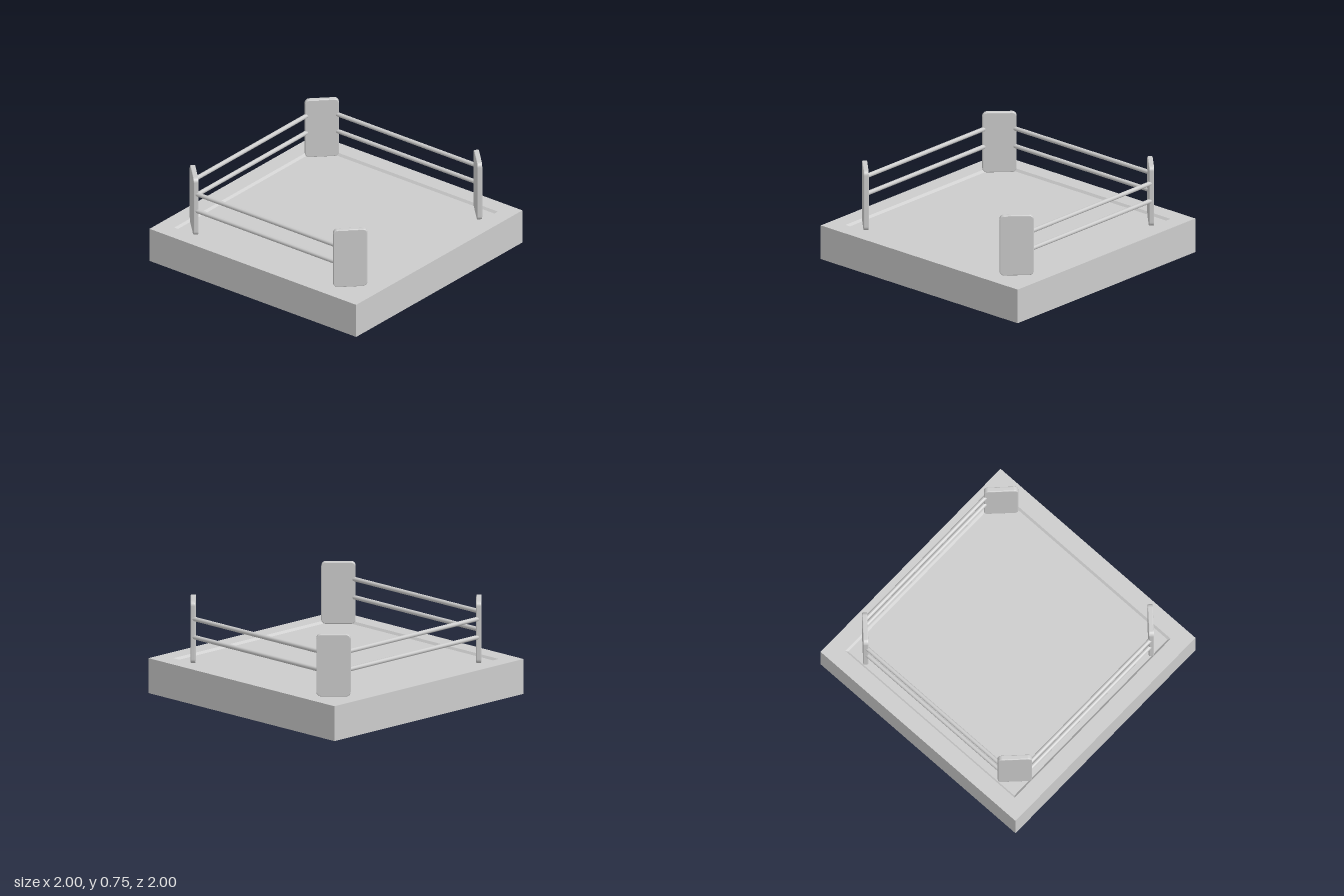
import * as THREE from 'three';

export function createModel() {
  const ring = new THREE.Group();
  ring.name = 'ring';
  const smooth = new THREE.MeshStandardMaterial({ color: 0xcccccc });
  const flat = new THREE.MeshStandardMaterial({ color: 0xcccccc, flatShading: true });

  const add = (name, geometry, material, x = 0, y = 0, z = 0) => {
    const mesh = new THREE.Mesh(geometry, material);
    mesh.name = name;
    mesh.position.set(x, y, z);
    ring.add(mesh);
    return mesh;
  };

  // Square platform with a shallow sloped recess: a four-sided lathe of half-widths
  const profile = [[0, 0], [1, 0], [1, 0.272], [0.868, 0.272], [0.852, 0.255], [0, 0.255]]
    .map(([r, y]) => new THREE.Vector2(r * Math.SQRT2, y));
  const platform = new THREE.LatheGeometry(profile, 4).rotateY(Math.PI / 4);
  add('platform', platform, flat);

  // Rounded, bevelled corner pad, centred on its own origin
  const bevel = 0.007, w = 0.13 - bevel, h = 0.242 - bevel, r = 0.028;
  const outline = new THREE.Shape();
  outline.absarc(w - r, h - r, r, 0, Math.PI / 2);
  outline.absarc(-w + r, h - r, r, Math.PI / 2, Math.PI);
  outline.absarc(-w + r, -h + r, r, Math.PI, Math.PI * 1.5);
  outline.absarc(w - r, -h + r, r, Math.PI * 1.5, Math.PI * 2);
  const padGeometry = new THREE.ExtrudeGeometry(outline, {
    depth: 0.026, bevelEnabled: true, bevelSize: bevel, bevelThickness: bevel,
    bevelSegments: 3, curveSegments: 8,
  }).translate(0, 0, -0.013);

  // One pad set diagonally across each corner
  for (const sx of [-1, 1]) {
    for (const sz of [-1, 1]) {
      const pad = add('cornerPad', padGeometry, smooth, sx * 0.768, 0.505, sz * 0.755);
      pad.rotation.y = Math.atan2(sx, sz);
    }
  }

  // Two ropes along the left, right and back; the front stays open
  const ropeGeometry = new THREE.CylinderGeometry(0.017, 0.017, 1.38, 16);
  for (const y of [0.47, 0.612]) {
    add('backRope', ropeGeometry, smooth, 0, y, -0.832).rotation.z = Math.PI / 2;
    for (const side of [-1, 1]) {
      add(side > 0 ? 'leftRope' : 'rightRope', ropeGeometry, smooth, side * 0.845, y, 0)
        .rotation.x = Math.PI / 2;
    }
  }
  return ring;
}
